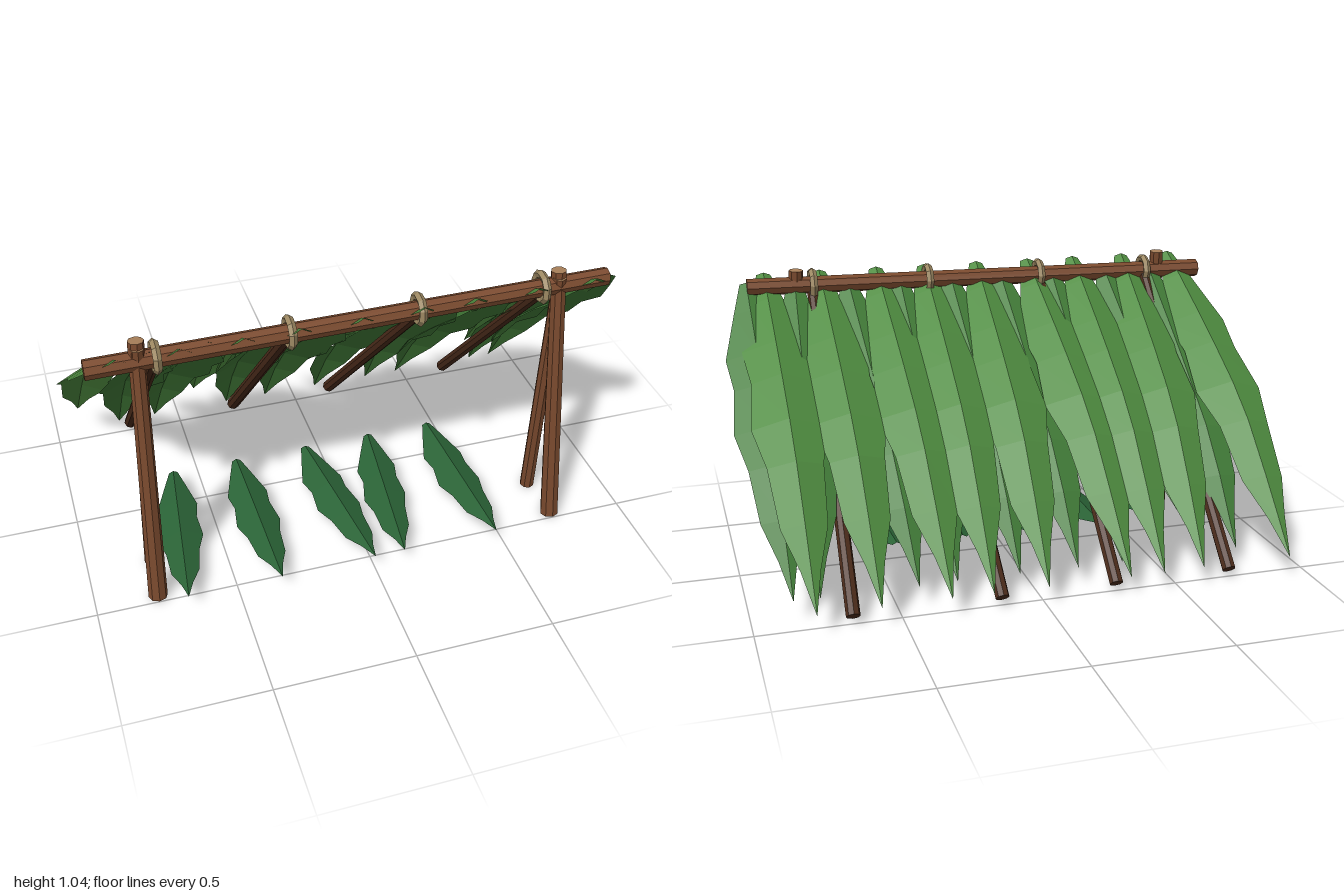
import * as THREE from 'three';

const mat = (color, side = THREE.FrontSide) =>
  new THREE.MeshStandardMaterial({ color, side, flatShading: true });
const wood = mat(0x7a4a2e), darkWood = mat(0x4c2c1b), cutWood = mat(0xa9805a), rope = mat(0x9c8862);
const roofGreen = mat(0x4f8c40, THREE.DoubleSide), underGreen = mat(0x447f3a, THREE.DoubleSide);
const bedGreen = mat(0x2b6437, THREE.DoubleSide);

// Eight-sided pole between two points, thicker at the start
function pole(name, a, b, r0, r1, bark = wood, cut = cutWood) {
  const p = new THREE.Vector3(...a), q = new THREE.Vector3(...b);
  const dir = q.clone().sub(p);
  const mesh = new THREE.Mesh(new THREE.CylinderGeometry(r1, r0, dir.length(), 8), [bark, cut, bark]);
  mesh.position.copy(p).add(q).multiplyScalar(0.5);
  mesh.quaternion.setFromUnitVectors(new THREE.Vector3(0, 1, 0), dir.normalize());
  mesh.name = name;
  return mesh;
}

// Ragged leaf outline: [fraction along the leaf, relative half width]
const OUTLINE = [[0, 0.2], [0.1, 0.5], [0.25, 0.93], [0.36, 0.82], [0.5, 1],
  [0.62, 0.75], [0.78, 0.62], [0.89, 0.26], [1, 0]];

// Leaf folded along its midrib, following a [y, z] spine from base x to tip x
function leaf(name, spine, x0, x1, width, droop, material) {
  const curve = new THREE.CatmullRomCurve3(spine.map(([y, z]) => new THREE.Vector3(0, y, z)));
  const pos = [], index = [];
  OUTLINE.forEach(([t, w], i) => {
    const p = curve.getPointAt(t), tan = curve.getTangentAt(t);
    const x = x0 + (x1 - x0) * t, h = w * width, d = h * droop;
    // edges drop along the normal of the spine
    const y = p.y + d * tan.z, z = p.z - d * tan.y;
    pos.push(x - h, y, z, x, p.y, p.z, x + h, y, z);
    if (i === 0) return;
    const a = (i - 1) * 3;
    for (const k of [a, a + 1]) index.push(k, k + 1, k + 3, k + 1, k + 4, k + 3);
  });
  const geo = new THREE.BufferGeometry();
  geo.setAttribute('position', new THREE.Float32BufferAttribute(pos, 3));
  geo.setIndex(index);
  geo.computeVertexNormals();
  const mesh = new THREE.Mesh(geo, material);
  mesh.name = name;
  return mesh;
}

export function createModel() {
  const model = new THREE.Group();
  model.name = 'leanToShelter';

  // Ridge pole, slightly tilted
  model.add(pole('ridgePole', [-0.93, 0.963, 0.39], [0.88, 0.985, 0.39], 0.035, 0.032));

  // Crossed post pairs at each end
  for (const [bottom, top] of [[-0.78, -0.757], [0.73, 0.695]]) {
    const s = Math.sign(bottom);
    model.add(pole('frontPost', [bottom, 0.005, 0.47], [top, 1.04, 0.388], 0.034, 0.027));
    model.add(pole('backPost', [bottom - s * 0.012, 0.005, 0.29], [top, 1.02, 0.4], 0.027, 0.024));
  }

  // Sloping rafters with a rope lashing at the ridge
  for (const [top, bottom] of [[-0.7, -0.705], [-0.257, -0.27], [0.19, 0.15], [0.635, 0.67]]) {
    model.add(pole('rafter', [bottom, 0.035, -0.51], [top, 0.965, 0.39], 0.025, 0.022, darkWood, darkWood));
    const ring = new THREE.Mesh(new THREE.TorusGeometry(0.047, 0.015, 5, 9), rope);
    ring.rotation.y = Math.PI / 2;
    ring.position.set(top, 0.978 + top * 0.012, 0.39);
    ring.name = 'lashing';
    model.add(ring);
  }

  // Upper layer of long roof leaves: base x, tip x
  const longSpine = [[1.025, 0.455], [0.96, 0.35], [0.8, 0.11], [0.62, -0.14], [0.5, -0.27], [0.25, -0.47], [0.09, -0.59]];
  for (const [x0, x1] of [[-0.83, -0.905], [-0.63, -0.57], [-0.42, -0.42], [-0.23, -0.295], [-0.02, 0.005],
    [0.19, 0.2], [0.38, 0.345], [0.6, 0.585], [0.81, 0.8]])
    model.add(leaf('roofLeaf', longSpine, x0, x1, 0.13, 0.45, roofGreen));

  // Lower layer of shorter roof leaves
  const shortSpine = [[1.0, 0.405], [0.9, 0.29], [0.74, 0.1], [0.55, -0.11], [0.42, -0.24], [0.09, -0.46]];
  for (const [x0, x1] of [[-0.72, -0.755], [-0.53, -0.61], [-0.31, -0.31], [-0.1, -0.145], [0.1, 0.07],
    [0.3, 0.295], [0.5, 0.43], [0.7, 0.77], [0.88, 0.86]])
    model.add(leaf('underLeaf', shortSpine, x0, x1, 0.12, 0.4, underGreen));

  // Bedding leaves on the ground, tips to the front
  const bedSpine = [[0.097, -0.075], [0.097, 0.25], [0.093, 0.595]];
  for (const [x0, x1] of [[-0.61, -0.69], [-0.36, -0.355], [-0.08, -0.01], [0.18, 0.1], [0.43, 0.455]]) {
    const bed = leaf('beddingLeaf', bedSpine, x0, x1, 0.082, -0.52, bedGreen);
    model.add(bed);
  }
  return model;
}
